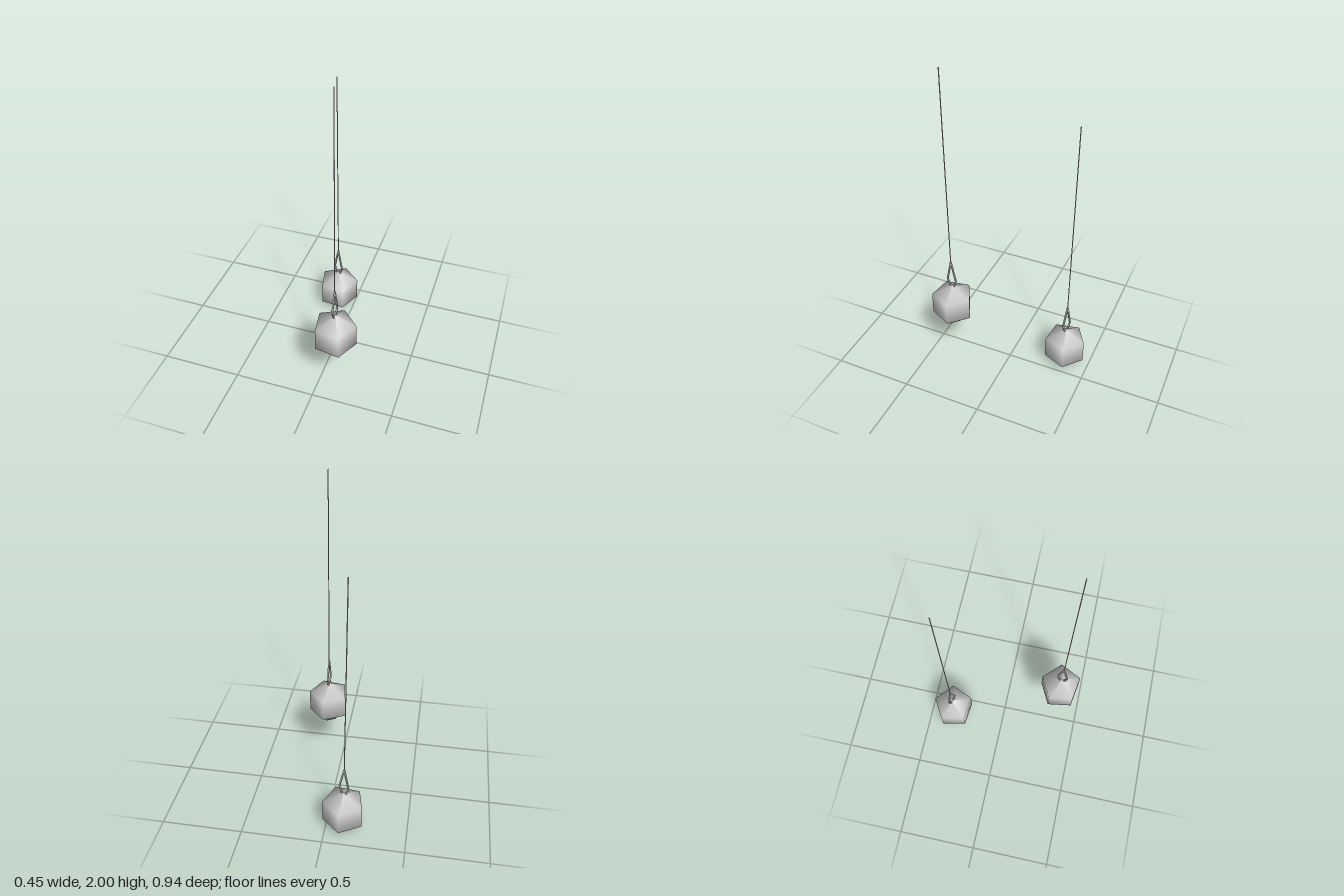
import * as THREE from 'three';

const material = new THREE.MeshStandardMaterial({ color: 0xcccccc, side: THREE.DoubleSide });

function part(name, geometry) {
  const mesh = new THREE.Mesh(geometry, material);
  mesh.name = name;
  return mesh;
}

// Five-sided smooth-shaded ball with a small flat foot, profile from bottom to top
function ballGeometry() {
  const profile = [
    [0, -0.1325], [0.055, -0.1325], [0.063, -0.109],
    [0.129, -0.0725], [0.129, 0.0725], [0, 0.1435],
  ].map(([r, y]) => new THREE.Vector2(r, y));
  return new THREE.LatheGeometry(profile, 5, -Math.PI / 2);
}

// Thin kite-shaped hanging loop, cut out of a flat strip
function loopGeometry() {
  const kite = [[0.014, 0.125], [0.036, 0.183], [0.004, 0.325]];
  const inner = [[0.005, 0.125], [0.027, 0.183], [0.0005, 0.3]];
  const mirrored = (pts) => [...pts, ...pts.map(([x, y]) => [-x, y]).reverse()]
    .map(([x, y]) => new THREE.Vector2(x, y));
  const shape = new THREE.Shape(mirrored(kite));
  // Keep the hole just inside the bottom edge, hidden in the ball
  inner[0][1] += 0.004;
  shape.holes.push(new THREE.Path(mirrored(inner)));
  return new THREE.ExtrudeGeometry(shape, { depth: 0.009, bevelEnabled: false })
    .translate(0, 0, -0.0045);
}

// Long string above the loop
function stringGeometry() {
  const bottom = 0.31, top = 1.5775;
  return new THREE.CylinderGeometry(0.003, 0.003, top - bottom, 6)
    .translate(0, (bottom + top) / 2, 0);
}

function ornament(name, position, turn, tiltX = 0, tiltZ = 0) {
  const spin = new THREE.Group();
  spin.name = name + 'Body';
  spin.rotation.y = THREE.MathUtils.degToRad(turn);
  spin.add(
    part('ball', ballGeometry()),
    part('loop', loopGeometry()),
    part('string', stringGeometry()),
  );
  const group = new THREE.Group();
  group.name = name;
  group.position.set(...position);
  group.rotation.set(tiltX, 0, tiltZ);
  group.add(spin);
  return group;
}

export function createModel() {
  const model = new THREE.Group();
  model.name = 'hangingOrnaments';
  model.add(
    ornament('backOrnament', [-0.108, 0.1325, -0.342], -23.5, -0.005, 0.009),
    ornament('frontOrnament', [0.098, 0.4225, 0.353], -99),
  );
  return model;
}
